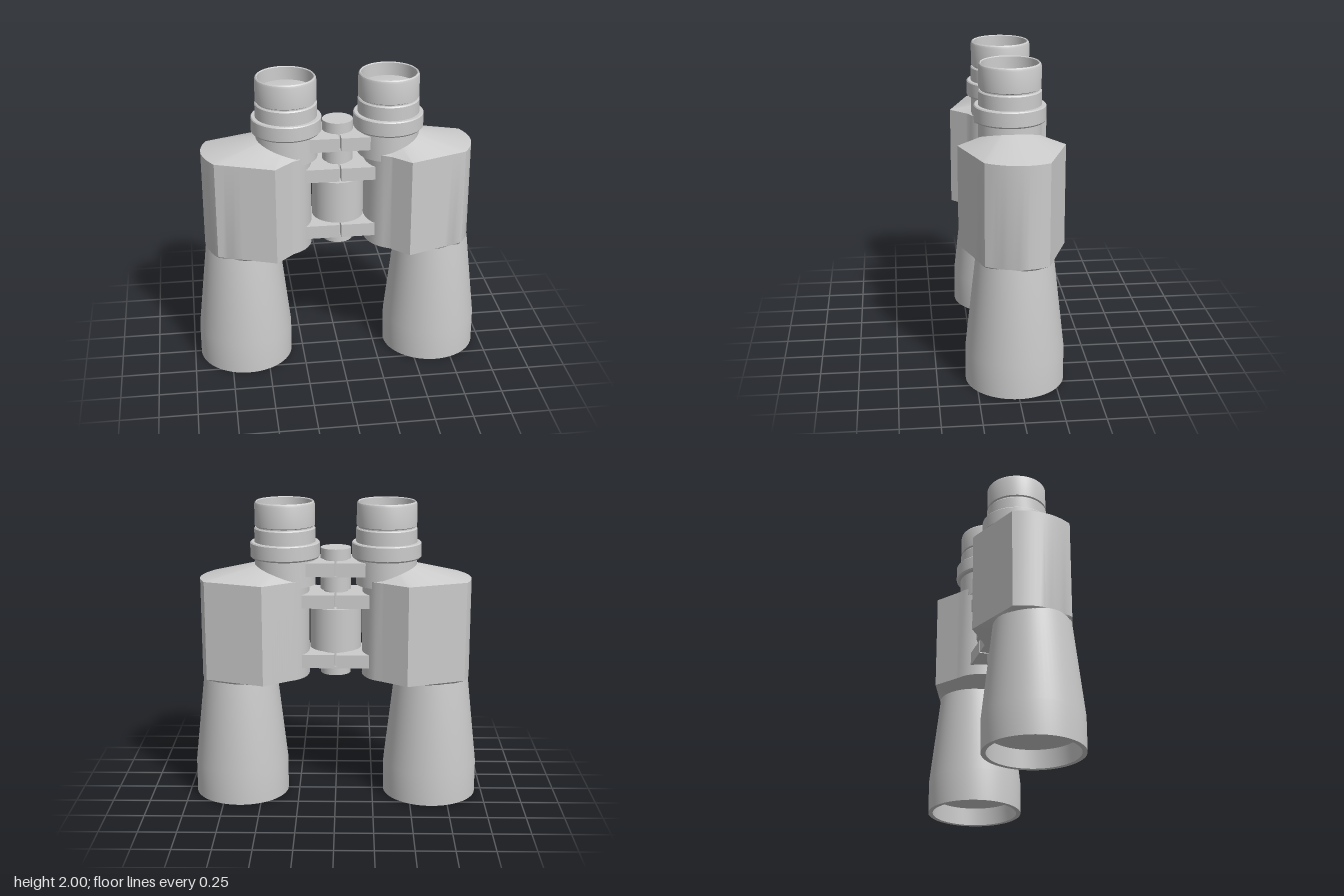
import * as THREE from 'three';
import { toCreasedNormals } from 'three/addons/utils/BufferGeometryUtils.js';

const material = new THREE.MeshStandardMaterial({ color: 0xcccccc });
const EYE_X = 0.333, EYE_R = 0.2;
const BARREL_X = 0.642, BARREL_R = 0.245;

function addMesh(parent, name, geometry, x = 0, y = 0, z = 0) {
  const mesh = new THREE.Mesh(geometry, material);
  mesh.name = name;
  mesh.position.set(x, y, z);
  parent.add(mesh);
  return mesh;
}

// Turned part from [radius, height] pairs, with crisp steps
function turned(profile, segments = 48) {
  const points = profile.map(([r, y]) => new THREE.Vector2(r, y));
  return toCreasedNormals(new THREE.LatheGeometry(points, segments), 0.45);
}

// Plan of one prism housing, as (x, z) points
function housingPlan() {
  const s = new THREE.Shape();
  s.moveTo(0.32, 0.225);
  s.lineTo(0.436, 0.338);
  s.lineTo(0.812, 0.2);
  s.quadraticCurveTo(0.948, 0.0, 0.85, -0.195);
  s.lineTo(0.468, -0.338);
  s.lineTo(0.3, -0.22);
  s.bezierCurveTo(0.13, -0.15, 0.13, 0.15, 0.32, 0.225);
  return s.curves.flatMap((c) => c.getPoints(12).slice(1));
}

// Pull a plan point onto a circle, along the ray from the circle's centre
function toCircle(p, cx, radius) {
  const dx = p.x - cx, d = Math.hypot(dx, p.y);
  const r = Math.min(radius, d);
  return [cx + (dx / d) * r, (p.y / d) * r, dx / d];
}

// Housing: underside ring, straight walls, shoulder rising to the eyepiece
function housingGeometry(side) {
  const plan = housingPlan();
  const rings = [
    plan.map((p) => {
      const [x, z] = toCircle(p, BARREL_X, BARREL_R - 0.005);
      return [x, 0.82, z];
    }),
    plan.map((p) => [p.x, 0.84, p.y]),
    plan.map((p) => [p.x, 1.5, p.y]),
    plan.map((p) => {
      const [x, z, outward] = toCircle(p, EYE_X, EYE_R - 0.005);
      return [x, 1.5 + 0.09 * Math.max(0, (outward + 0.3) / 1.3), z];
    }),
  ];
  const n = plan.length, positions = [], index = [];
  for (const ring of rings) {
    const ordered = side > 0 ? ring : [...ring].reverse();
    for (const [x, y, z] of ordered) positions.push(side * x, y, z);
  }
  for (let i = 0; i < rings.length - 1; i++) {
    for (let j = 0; j < n; j++) {
      const k = (j + 1) % n;
      const a = i * n + j, b = i * n + k, c = b + n, d = a + n;
      index.push(a, b, c, a, c, d);
    }
  }
  const g = new THREE.BufferGeometry();
  g.setAttribute('position', new THREE.Float32BufferAttribute(positions, 3));
  g.setIndex(index);
  return toCreasedNormals(g, 0.4);
}

function createHalf(side) {
  const half = new THREE.Group();
  half.name = side > 0 ? 'leftTelescope' : 'rightTelescope';

  addMesh(half, 'prismHousing', housingGeometry(side));

  // Objective barrel with a recessed lens
  addMesh(half, 'objectiveBarrel', turned([
    [0.315, 0], [0.315, 0.22], [0.245, 0.84],
  ], 64), side * BARREL_X);
  addMesh(half, 'objectiveRim', turned([
    [0.28, 0.12], [0.285, 0], [0.315, 0],
  ], 64), side * BARREL_X);
  addMesh(half, 'objectiveLens', turned([
    [0, 0.085], [0.1, 0.089], [0.2, 0.1], [0.282, 0.12],
  ], 64), side * BARREL_X);

  // Eyepiece: tube, focus ring, collar and eyecup
  addMesh(half, 'eyepiece', turned([
    [0, 1.453], [0.2, 1.453], [0.2, 1.625], [0.22, 1.63], [0.228, 1.64],
    [0.228, 1.728], [0.222, 1.735], [0.2, 1.735], [0.2, 1.822], [0.193, 1.83],
    [0.187, 1.83], [0.187, 1.837], [0.197, 1.843], [0.197, 1.98], [0.193, 1.993],
    [0.186, 2], [0.179, 1.995], [0.177, 1.91],
  ]), side * EYE_X);
  addMesh(half, 'eyeLens', turned([
    [0.178, 1.91], [0.12, 1.917], [0.06, 1.921], [0, 1.923],
  ]), side * EYE_X);
  return half;
}

function createHinge() {
  const hinge = new THREE.Group();
  hinge.name = 'centreHinge';

  // Central shaft pieces: [name, radius, bottom, top]
  const drums = [
    ['bottomCap', 0.1, 0.845, 0.905],
    ['lowerSpacer', 0.1, 0.995, 1.025],
    ['centreDrum', 0.17, 1.025, 1.31],
    ['upperSpacer', 0.1, 1.42, 1.515],
    ['topKnob', 0.1, 1.625, 1.695],
    ['shaft', 0.08, 0.86, 1.68],
  ];
  for (const [name, r, y0, y1] of drums) {
    addMesh(hinge, name, new THREE.CylinderGeometry(r, r, y1 - y0, 40), 0, (y0 + y1) / 2);
  }

  // Paired bridge arms split by a narrow gap: [bottom, top, reach]
  for (const [y0, y1, reach] of [[0.91, 1.0, 0.23], [1.315, 1.405, 0.23], [1.525, 1.615, 0.195]]) {
    for (const side of [-1, 1]) {
      const width = reach - 0.006;
      addMesh(hinge, 'bridgeArm', new THREE.BoxGeometry(width, y1 - y0, 0.31),
        side * (0.006 + width / 2), (y0 + y1) / 2);
    }
  }
  return hinge;
}

export function createModel() {
  const model = new THREE.Group();
  model.name = 'binoculars';
  model.add(createHalf(1), createHalf(-1), createHinge());
  return model;
}
